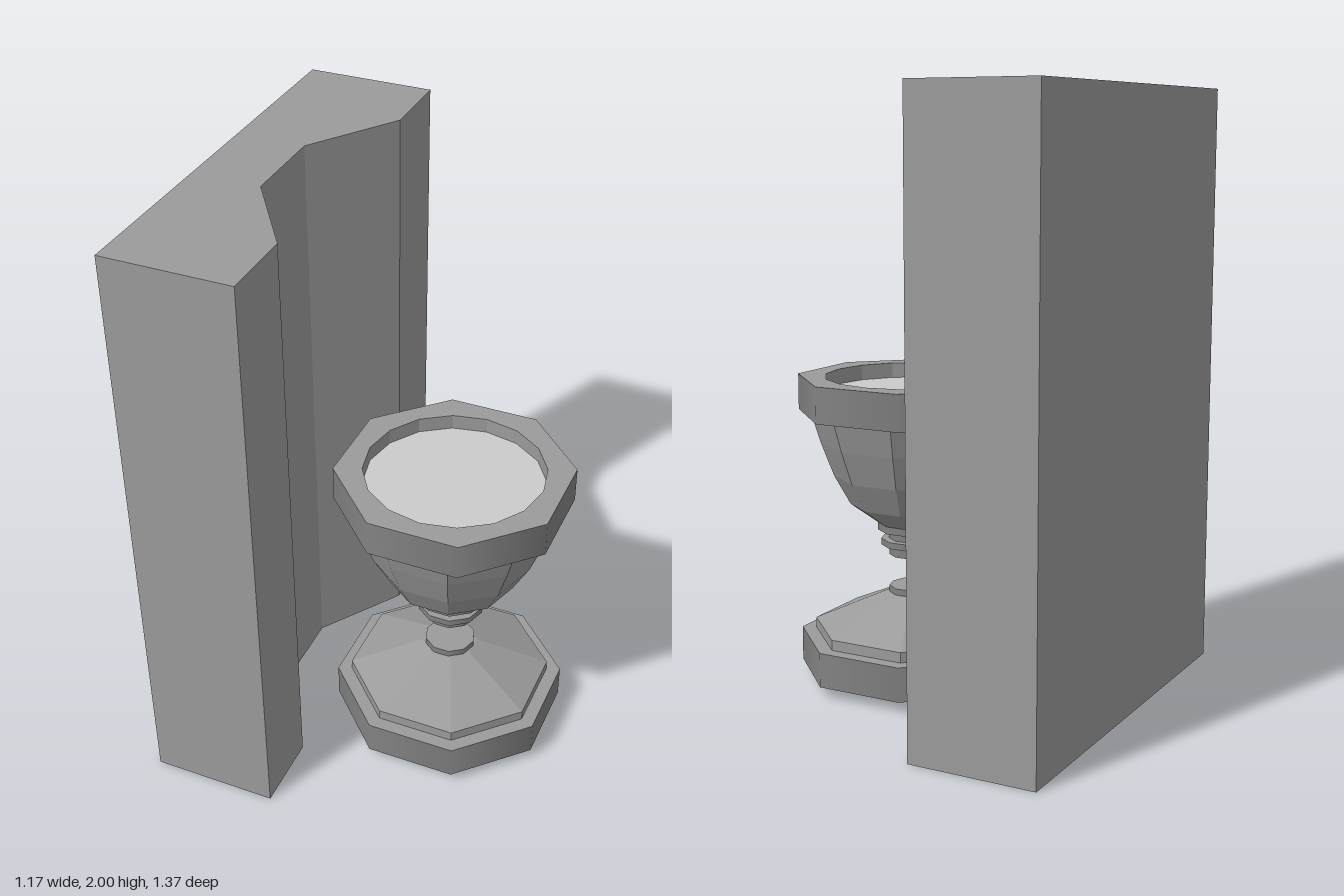
import * as THREE from 'three';
import { mergeGeometries } from 'three/addons/utils/BufferGeometryUtils.js';

const stone = new THREE.MeshStandardMaterial({ color: 0x9b9b9b, flatShading: true, side: THREE.DoubleSide });
const band = new THREE.MeshStandardMaterial({ color: 0x828282 }); // smooth dark sides of rings
const pale = new THREE.MeshStandardMaterial({ color: 0xcccccc });
const OCT = Math.cos(Math.PI / 8); // apothem to corner radius of an octagon
const RIM_LOW = 0.93, RIM_HIGH = 1.052;

function add(parent, name, geometry, material = stone) {
  const mesh = new THREE.Mesh(geometry, material);
  mesh.name = name;
  parent.add(mesh);
  return mesh;
}

// Frustum between two heights, first corner at the given angle
function frustum(rBottom, rTop, y0, y1, sides, start, open = false) {
  const g = new THREE.CylinderGeometry(rTop, rBottom, y1 - y0, sides, 1, open, start);
  return g.translate(0, (y0 + y1) / 2, 0);
}

const octagon = (aBottom, aTop, y0, y1, open) =>
  frustum(aBottom / OCT, aTop / OCT, y0, y1, 8, Math.PI / 8, open);

function polygon(radius, sides, start) {
  return Array.from({ length: sides }, (_, i) => {
    const a = start + (i / sides) * Math.PI * 2;
    return new THREE.Vector2(radius * Math.cos(a), radius * Math.sin(a));
  });
}

// Flat upward-facing plate at a height
const plate = (shape, y) => new THREE.ShapeGeometry(shape).rotateX(-Math.PI / 2).translate(0, y, 0);

// Wall slab with a splayed niche, open underneath
function wallGeometry(height) {
  const plan = [[-0.588, -0.687], [-0.162, -0.687], [-0.162, -0.433], [-0.359, -0.147],
    [-0.359, 0.147], [-0.162, 0.433], [-0.162, 0.687], [-0.588, 0.687]];
  const panels = plan.map(([bx, bz], i) => {
    const [ax, az] = plan[(i + 1) % plan.length];
    return new THREE.PlaneGeometry(Math.hypot(bx - ax, bz - az), height)
      .rotateY(Math.atan2(az - bz, bx - ax))
      .translate((ax + bx) / 2, height / 2, (az + bz) / 2);
  });
  const outline = new THREE.Shape(plan.map(([x, z]) => new THREE.Vector2(x, z)));
  return mergeGeometries([...panels, plate(outline, height)]);
}

export function createModel() {
  const model = new THREE.Group();
  add(model, 'wall', wallGeometry(2));

  // Pedestal basin standing in front of the niche
  const fountain = new THREE.Group();
  fountain.name = 'fountain';
  fountain.position.set(0.222, -0.005, 0.015);
  model.add(fountain);

  // Foot
  const ringMaterials = [band, stone, stone];
  add(fountain, 'base', octagon(0.365, 0.365, 0.043, 0.16), ringMaterials);
  add(fountain, 'baseStep', octagon(0.32, 0.32, 0.16, 0.195));
  add(fountain, 'footSlope', octagon(0.32, 0.087, 0.195, 0.303));
  add(fountain, 'footKnob', frustum(0.087, 0.087, 0.303, 0.325, 10, Math.PI / 2), ringMaterials);

  // Stem rings around a core
  [[0.087, 0.435, 0.463], [0.114, 0.47, 0.492], [0.087, 0.492, 0.515], [0.125, 0.523, 0.548]]
    .forEach(([r, y0, y1], i) =>
      add(fountain, `stemRing${i + 1}`, frustum(r, r, y0, y1, 10, Math.PI / 2), ringMaterials));
  add(fountain, 'stemCore', frustum(0.08, 0.08, 0.437, 0.54, 10, Math.PI / 2), ringMaterials);

  // Ten-sided bowl
  const profile = [[0, 0.548], [0.125, 0.548], [0.217, 0.615], [0.272, 0.715], [0.315, 0.83], [0.346, RIM_LOW]]
    .map(([r, y]) => new THREE.Vector2(r, y));
  add(fountain, 'bowl', new THREE.LatheGeometry(profile, 10, Math.PI / 2));

  // Octagonal rim with a rounder opening
  const ring = new THREE.Shape(polygon(0.365 / OCT, 8, Math.PI / 8));
  ring.holes.push(new THREE.Path(polygon(0.3, 16, 0).reverse()));
  add(fountain, 'rimSide', octagon(0.365, 0.365, RIM_LOW, RIM_HIGH, true), band);
  add(fountain, 'rimTop', plate(ring, RIM_HIGH));
  add(fountain, 'rimUnderside', plate(ring, RIM_LOW));
  add(fountain, 'rimInside', frustum(0.3, 0.3, RIM_LOW, RIM_HIGH, 16, 0, true));

  // Water surface
  add(fountain, 'water', new THREE.CircleGeometry(0.3, 16).rotateX(-Math.PI / 2), pale).position.y = 1;

  return model;
}
